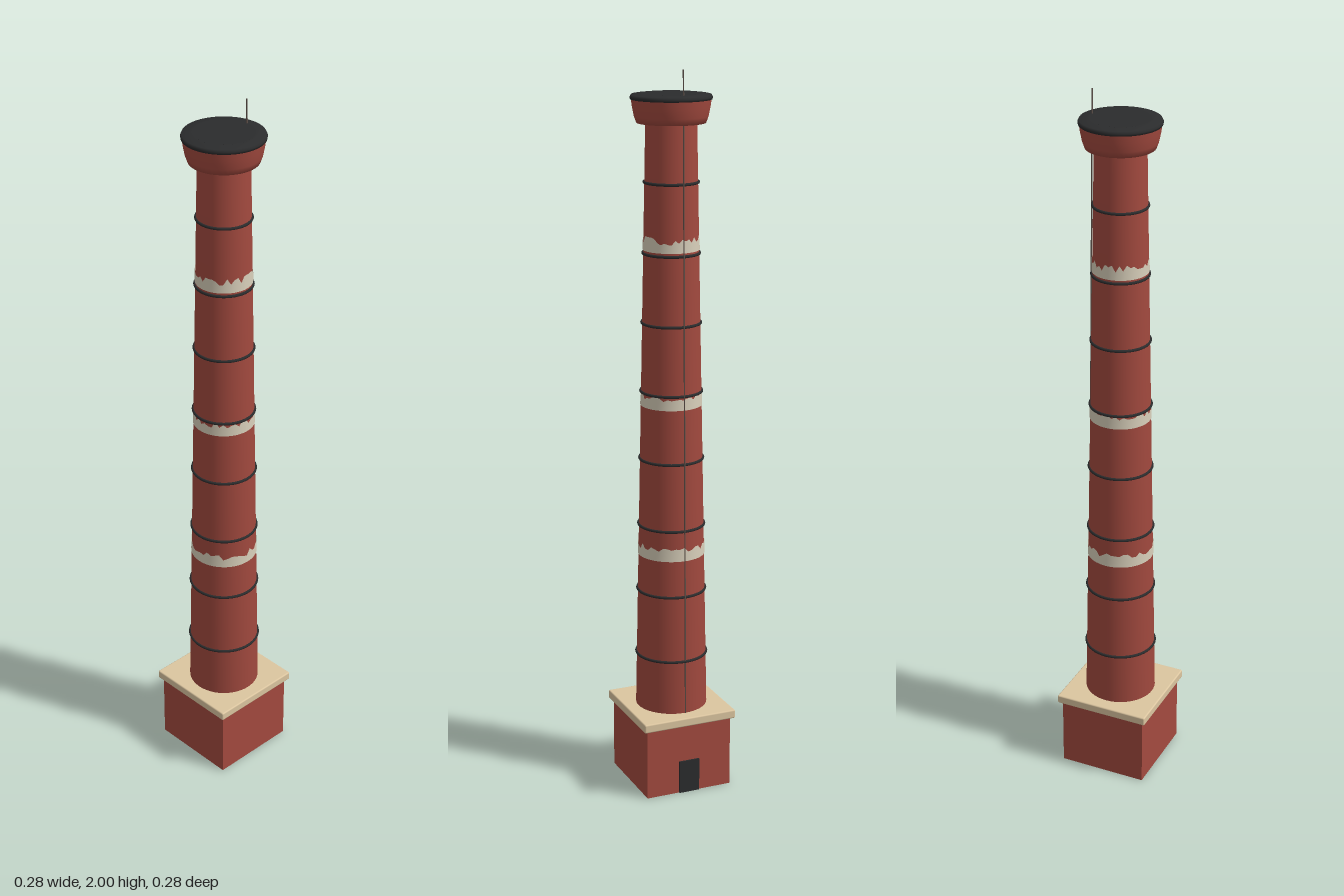
import * as THREE from 'three';
import { RoundedBoxGeometry } from 'three/addons/geometries/RoundedBoxGeometry.js';

const mat = (name, color, side = THREE.FrontSide) => {
  const m = new THREE.MeshStandardMaterial({ color, side });
  m.name = name;
  return m;
};

export function createModel() {
  const group = new THREE.Group();
  group.name = 'chimney';

  const brick = mat('red brick', 0xa34a3f);
  const stone = mat('sandstone', 0xdcc6a0);
  const iron = mat('black iron', 0x2b2c2d);
  const paint = mat('worn cream paint', 0xd8cfba, THREE.DoubleSide);
  const metal = mat('conductor metal', 0x5e514a);

  const add = (name, geometry, material, x = 0, y = 0, z = 0) => {
    const mesh = new THREE.Mesh(geometry, material);
    mesh.name = name;
    mesh.position.set(x, y, z);
    group.add(mesh);
    return mesh;
  };
  const lathe = (pts, seg = 48) =>
    new THREE.LatheGeometry(pts.map(([r, y]) => new THREE.Vector2(r, y)), seg);

  // Tapering shaft radius at a given height
  const y0 = 0.22, y1 = 1.87;
  const radiusAt = (y) => THREE.MathUtils.lerp(0.1, 0.068, (y - y0) / (y1 - y0));

  // Square base, stone ledge and door
  add('base', new THREE.BoxGeometry(0.252, 0.205, 0.252), brick, 0, 0.1025, 0);
  add('ledge', new RoundedBoxGeometry(0.275, 0.025, 0.275, 2, 0.004), stone, 0, 0.2145, 0);
  add('door', new THREE.BoxGeometry(0.008, 0.095, 0.06), iron, 0.126, 0.0475, 0);

  // Shaft, softly shaded into its closed foot
  add('shaft', lathe([[0, y0], [radiusAt(y0), y0], [radiusAt(y1), y1]]), brick);

  // Iron hoops
  for (let i = 0; i < 8; i++) {
    const y = 0.38 + i * 0.189;
    const hoop = add('hoop', new THREE.TorusGeometry(radiusAt(y) + 0.001, 0.004, 8, 48), iron, 0, y, 0);
    hoop.rotation.x = Math.PI / 2;
  }

  // Worn paint bands with a ragged upper edge
  let seed = 7;
  const rand = () => (seed = (seed * 16807) % 2147483647) / 2147483647;
  for (const y of [0.673, 1.098, 1.523]) {
    const seg = 48;
    const geo = new THREE.CylinderGeometry(1, 1, 1, seg, 1, true);
    const heights = Array.from({ length: seg }, () => 0.022 + 0.02 * rand());
    const pos = geo.attributes.position;
    for (let i = 0; i < pos.count; i++) {
      const h = pos.getY(i) > 0 ? heights[(i % (seg + 1)) % seg] : 0;
      const r = radiusAt(y + h) + 0.0015;
      pos.setXYZ(i, pos.getX(i) * r, y + h, pos.getZ(i) * r);
    }
    geo.computeVertexNormals();
    add('paintBand', geo, paint);
  }

  // Flared brick crown and iron cap
  add('crown', lathe([[0.05, 1.857], [0.092, 1.858], [0.098, 1.875], [0.103, 1.9], [0.106, 1.922]]), brick);
  add('capRim', lathe([[0.07, 1.918], [0.108, 1.919], [0.109, 1.925], [0.106, 1.931], [0.08, 1.934]]), iron);
  add('capDisc', new THREE.CylinderGeometry(0.0805, 0.0805, 0.012, 48), iron, 0, 1.928, 0);

  // Lightning conductor running from the ledge to above the cap
  const path = new THREE.LineCurve3(new THREE.Vector3(0.101, 0.22, 0), new THREE.Vector3(0.079, 2, 0));
  add('lightningRod', new THREE.TubeGeometry(path, 1, 0.002, 8), metal);

  return group;
}
